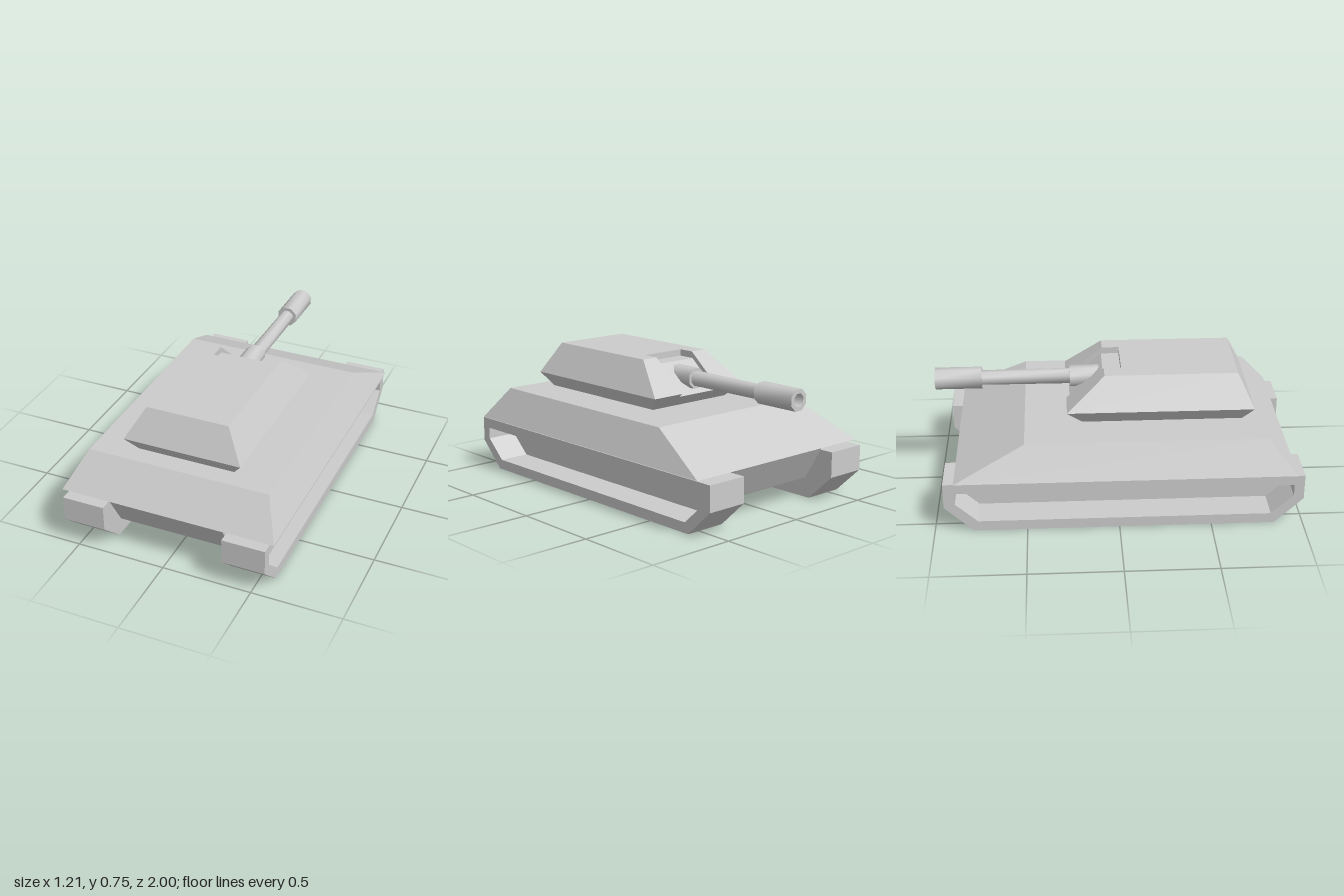
import * as THREE from 'three';
import { toCreasedNormals } from 'three/addons/utils/BufferGeometryUtils.js';

const flat = new THREE.MeshStandardMaterial({ color: 0xcccccc, flatShading: true });
const smooth = new THREE.MeshStandardMaterial({ color: 0xcccccc });

function part(name, geometry, material = flat) {
  const mesh = new THREE.Mesh(geometry, material);
  mesh.name = name;
  return mesh;
}

// Closed stack of rectangles, each [y, x0, x1, z0, z1], from bottom to top
function loft(levels) {
  const pos = [], index = [];
  for (const [y, x0, x1, z0, z1] of levels) pos.push(x0, y, z1, x1, y, z1, x1, y, z0, x0, y, z0);
  for (let l = 0; l < levels.length - 1; l++) {
    for (let i = 0; i < 4; i++) {
      const a = l * 4 + i, b = l * 4 + (i + 1) % 4;
      index.push(a, b, b + 4, a, b + 4, a + 4);
    }
  }
  const t = (levels.length - 1) * 4;
  index.push(0, 2, 1, 0, 3, 2, t, t + 1, t + 2, t, t + 2, t + 3);
  const g = new THREE.BufferGeometry();
  g.setAttribute('position', new THREE.Float32BufferAttribute(pos, 3));
  g.setIndex(index);
  g.computeVertexNormals();
  return g;
}

// Side profile of [z, y] points extruded across x0..x1; a hole runs the opposite way round
function slab(profile, x0, x1, hole) {
  const points = (list) => list.map(([z, y]) => new THREE.Vector2(z, y));
  const shape = new THREE.Shape(points(profile));
  if (hole) shape.holes.push(new THREE.Path(points(hole)));
  const g = new THREE.ExtrudeGeometry(shape, { depth: x1 - x0, bevelEnabled: false });
  return g.rotateY(-Math.PI / 2).translate(x1, 0, 0);
}

export function createModel() {
  const model = new THREE.Group();
  model.name = 'tank';

  // Hull
  model.add(part('lowerHull', loft([
    [0.118, -0.323, 0.323, -0.775, 0.845],
    [0.304, -0.323, 0.323, -0.883, 0.953],
  ])));
  model.add(part('upperHull', loft([
    [0.304, -0.605, 0.605, -0.885, 0.955],
    [0.49, -0.515, 0.515, -0.505, 0.80],
  ])));

  // Tracks: a solid inner wall and an outer rim around a deep recess
  const outline = [[1, 0.289], [1, 0.147], [0.845, 0], [-0.79, 0], [-0.945, 0.147], [-0.945, 0.289]];
  const recess = [[-0.885, 0.232], [-0.885, 0.167], [-0.765, 0.057], [0.825, 0.057], [0.945, 0.167], [0.945, 0.232]];
  for (const [side, s] of [['left', 1], ['right', -1]]) {
    const track = new THREE.Group();
    track.name = side + 'Track';
    const span = (a, b) => (s > 0 ? [a, b] : [-b, -a]);
    track.add(part('trackCore', slab(outline, ...span(0.338, 0.396))));
    track.add(part('trackRim', slab(outline, ...span(0.396, 0.576), recess)));
    model.add(track);
  }

  // Turret: two sloped sides and a middle notched for the gun
  const turret = new THREE.Group();
  turret.name = 'turret';
  const n = 0.135;
  const levels = [[0.49, 0.275, -0.19, 0.69], [0.571, 0.333, -0.273, 0.748], [0.745, 0.233, -0.065, 0.663]];
  turret.add(part('turretLeft', loft(levels.map(([y, x, z0, z1]) => [y, n, x, z0, z1]))));
  turret.add(part('turretRight', loft(levels.map(([y, x, z0, z1]) => [y, -x, -n, z0, z1]))));
  turret.add(part('turretMiddle', slab([
    [0.69, 0.49], [0.748, 0.571], [0.663, 0.745], [0.03, 0.745],
    [0.03, 0.708], [-0.07, 0.708], [-0.255, 0.553], [-0.19, 0.49],
  ], -n, n)));
  model.add(turret);

  // Gun: eight-sided collar, barrel and hollow muzzle turned in one piece
  const gunProfile = [
    [0.06, 0.02], [0.06, 0.25], [0.043, 0.25], [0.041, 0.74], [0.061, 0.74],
    [0.061, 1], [0.037, 1], [0.037, 0.85], [0, 0.85],
  ].map(([r, d]) => new THREE.Vector2(r, d));
  const gun = new THREE.LatheGeometry(gunProfile, 8, Math.PI / 8).rotateX(-Math.PI / 2);
  const gunMesh = part('gun', toCreasedNormals(gun, 0.9), smooth);
  gunMesh.position.set(0.004, 0.637, 0);
  model.add(gunMesh);

  return model;
}
